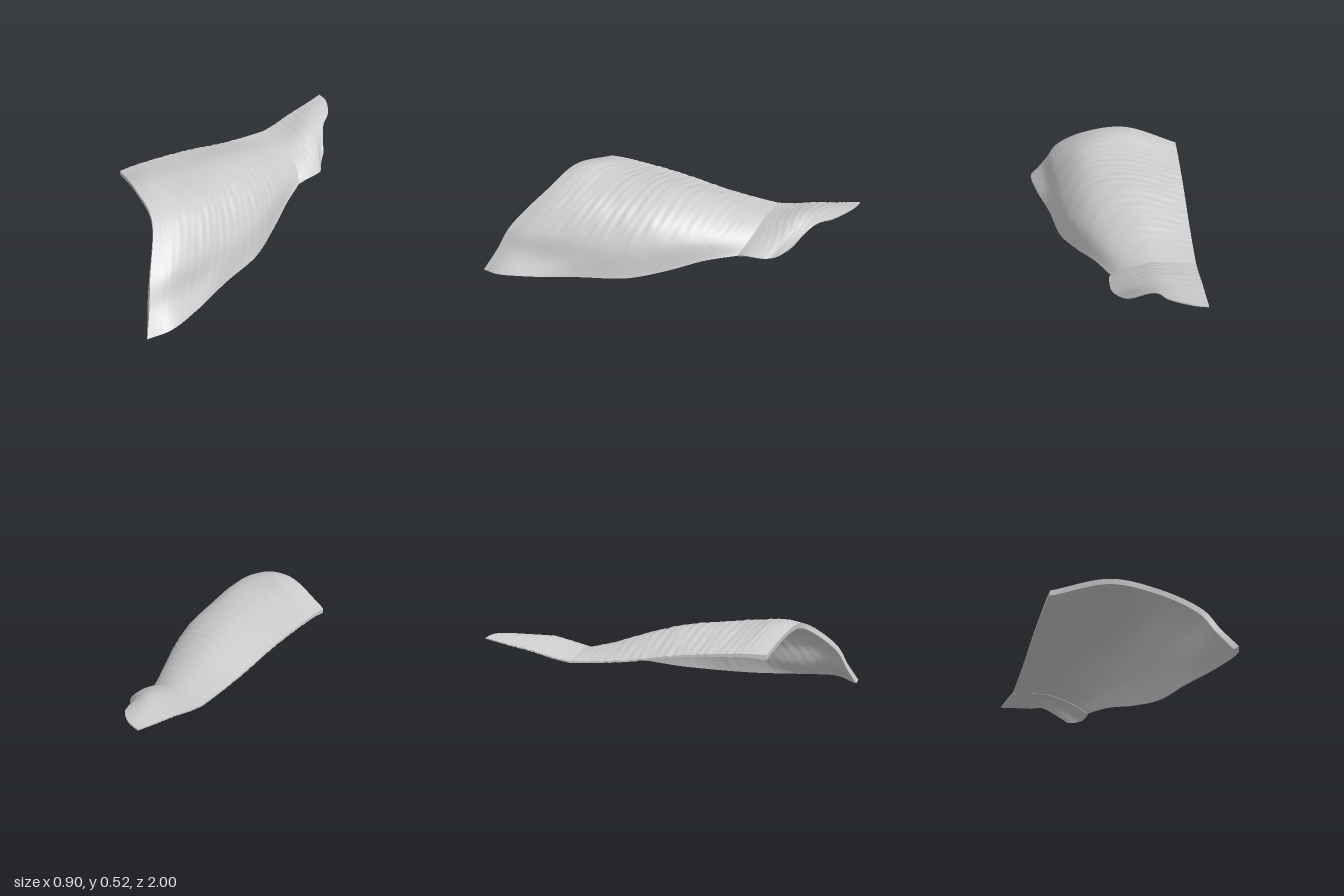
import * as THREE from 'three';

const CUT = -0.45; // flat plane where the shell half ends

// Each row runs from the flat cut side to the low outer rim: x, y, z per point
const bodyRows = [
  [CUT, .45, .55, -.15, .51, .65, .08, .455, .71, .28, .265, .875, .345, .135, .935, .41, .015, 1],
  [CUT, .45, .46, -.14, .523, .56, .11, .46, .61, .305, .28, .75, .365, .145, .82, .45, .035, .88],
  [CUT, .44, .33, -.12, .49, .4, .12, .445, .43, .28, .28, .53, .34, .13, .61, .41, .04, .68],
  [CUT, .425, .18, -.12, .475, .22, .1, .425, .25, .25, .265, .32, .33, .05, .42],
  [CUT, .4, .01, -.14, .46, .03, .08, .395, .05, .2, .265, .09, .27, .07, .15],
  [CUT, .365, -.18, -.18, .415, -.17, .0, .365, -.15, .11, .275, -.12, .18, .11, -.05],
  [CUT, .343, -.36, -.22, .36, -.36, -.08, .325, -.34, .02, .265, -.3, .08, .168, -.25],
  [CUT, .33, -.52, -.24, .333, -.5, -.13, .295, -.48, -.05, .245, -.45, 0, .195, -.42],
];
const tailRows = [
  bodyRows[7],
  [CUT, .347, -.62, -.23, .355, -.58, -.12, .31, -.55, -.04, .255, -.51, .01, .21, -.46],
  [CUT, .375, -.73, -.24, .39, -.69, -.13, .33, -.66, -.05, .26, -.62, 0, .213, -.59],
  [CUT, .402, -.87, -.34, .413, -.84, -.24, .39, -.78, -.14, .32, -.71, -.055, .215, -.65],
  [CUT, .43, -1, -.37, .427, -.98, -.265, .4, -.9, -.21, .37, -.81, -.1, .27, -.71],
];

// Smooth grid through the rows: grid[i][j], i front to back, j cut to rim
function loft(rows, nu, nv) {
  const across = rows.map((r) => {
    const pts = [];
    for (let k = 0; k < r.length; k += 3) pts.push(new THREE.Vector3(r[k], r[k + 1], r[k + 2]));
    return new THREE.CatmullRomCurve3(pts);
  });
  const grid = Array.from({ length: nu + 1 }, () => []);
  for (let j = 0; j <= nv; j++) {
    const along = new THREE.CatmullRomCurve3(across.map((c) => c.getPointAt(j / nv)));
    for (let i = 0; i <= nu; i++) grid[i][j] = along.getPoint(i / nu);
  }
  return grid;
}

// Shallow fibrous ridges that run across the shell and fade toward its edges
const fibre = (u, v) =>
  Math.sin(Math.PI * u) * (1 - v ** 4) *
  (0.002 * Math.sin(95 * u + 4 * Math.sin(5 * v)) * Math.sin(9 * v + 31 * u) +
   0.0014 * Math.sin(170 * u + 6 * v));

// Closed plate: outer skin, offset inner skin and the edge wall between them
function plate(name, rows, nu, nv, thickness, material) {
  const grid = loft(rows, nu, nv);
  const outer = [], inner = [], du = new THREE.Vector3(), dv = new THREE.Vector3();
  for (let i = 0; i <= nu; i++) {
    for (let j = 0; j <= nv; j++) {
      const u = i / nu, v = j / nv, p = grid[i][j];
      du.subVectors(grid[Math.min(i + 1, nu)][j], grid[Math.max(i - 1, 0)][j]);
      dv.subVectors(grid[i][Math.min(j + 1, nv)], grid[i][Math.max(j - 1, 0)]);
      const n = dv.clone().cross(du).normalize();
      const ridge = fibre(u, v);
      const o = p.clone().addScaledVector(n, ridge);
      const q = p.clone().addScaledVector(n, ridge - thickness(u, v));
      for (const w of [o, q]) {
        w.x = j === 0 ? CUT : Math.max(w.x, CUT);
        w.y = Math.max(w.y, 0);
      }
      outer.push(o);
      inner.push(q);
    }
  }
  const at = (i, j) => i * (nv + 1) + j;
  const verts = [...outer, ...inner], index = [], offset = outer.length;
  for (let i = 0; i < nu; i++) {
    for (let j = 0; j < nv; j++) {
      const a = at(i, j), b = at(i, j + 1), c = at(i + 1, j), d = at(i + 1, j + 1);
      index.push(a, b, c, b, d, c);
      index.push(a + offset, c + offset, b + offset, b + offset, c + offset, d + offset);
    }
  }
  // Edge wall has its own vertices so the rim stays sharp
  const sides = [[], [], [], []];
  for (let j = 0; j <= nv; j++) { sides[0].push(at(0, j)); sides[2].push(at(nu, nv - j)); }
  for (let i = 0; i <= nu; i++) { sides[1].push(at(i, nv)); sides[3].push(at(nu - i, 0)); }
  for (const side of sides) {
    const start = verts.length;
    side.forEach((k) => verts.push(outer[k], inner[k]));
    for (let k = 0; k < side.length - 1; k++) {
      const a = start + 2 * k;
      index.push(a, a + 1, a + 2, a + 1, a + 3, a + 2);
    }
  }
  const geometry = new THREE.BufferGeometry().setFromPoints(verts);
  geometry.setIndex(index);
  geometry.computeVertexNormals();
  const mesh = new THREE.Mesh(geometry, material);
  mesh.name = name;
  return mesh;
}

export function createModel() {
  const group = new THREE.Group();
  group.name = 'curvedShellHalf';
  const material = new THREE.MeshStandardMaterial({ color: 0xcccccc, side: THREE.DoubleSide });

  // Domed body: thick front lip, thin rim, and a swelling inside the side wall
  const bodyThickness = (u, v) =>
    0.01 + 0.02 * (1 - u) ** 3 + 0.025 * Math.sin(Math.PI * u) * Math.sin(Math.PI * v ** 2) ** 2;
  group.add(plate('shellBody', bodyRows, 150, 70, bodyThickness, material));

  // Upturned tail that thins toward its end
  const tailThickness = (u) => 0.01 - 0.003 * u;
  group.add(plate('shellTail', tailRows, 70, 60, tailThickness, material));
  return group;
}
